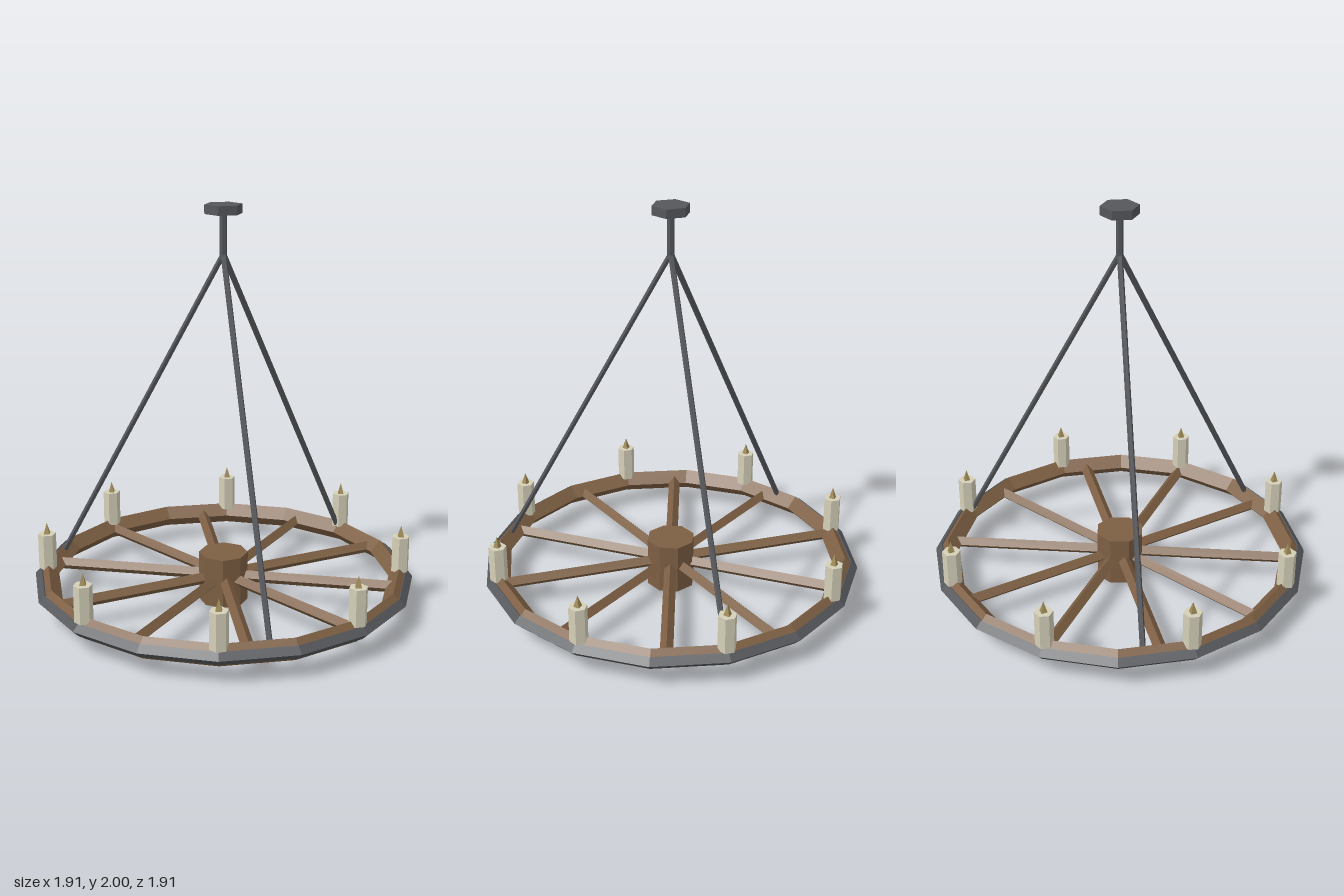
import * as THREE from 'three';

const flat = (name, color) => {
  const m = new THREE.MeshStandardMaterial({ color, flatShading: true });
  m.name = name;
  return m;
};

export function createModel() {
  const wood = flat('wood', 0x7d5f43);
  const iron = flat('iron', 0x55575b);
  const wax = flat('wax', 0xd4cfb8);
  const flame = flat('flame', 0xa08c58);

  const group = new THREE.Group();
  group.name = 'wheelChandelier';

  const add = (name, geometry, material, x = 0, y = 0, z = 0) => {
    const mesh = new THREE.Mesh(geometry, material);
    mesh.name = name;
    mesh.position.set(x, y, z);
    group.add(mesh);
    return mesh;
  };

  // Straight bar between two points
  const bar = (name, a, b, radius, sides, material) => {
    const dir = b.clone().sub(a);
    const mesh = add(name, new THREE.CylinderGeometry(radius, radius, dir.length(), sides), material);
    mesh.position.copy(a).add(b).multiplyScalar(0.5);
    return { mesh, dir: dir.normalize() };
  };

  const rimY = 0.13, rimR = 0.89;

  // Wheel rim and the iron band around it, both with a diamond section
  add('rim', new THREE.TorusGeometry(rimR, 0.055, 4, 16).rotateX(Math.PI / 2), wood, 0, rimY, 0);
  add('ironBand', new THREE.TorusGeometry(0.923, 0.032, 4, 16).rotateX(Math.PI / 2), iron, 0, rimY, 0);

  // Hub
  add('hub', new THREE.CylinderGeometry(0.123, 0.123, 0.254, 8), wood, 0, 0.127, 0);

  // Ten spokes with an edge facing up
  for (let i = 0; i < 10; i++) {
    const geometry = new THREE.CylinderGeometry(0.031, 0.031, 0.82, 4);
    geometry.rotateX(Math.PI / 2).translate(0, 0, 0.46);
    add('spoke', geometry, wood, 0, rimY, 0).rotation.y = (i * Math.PI) / 5;
  }

  // Eight candles, each with a pointed flame
  for (let i = 0; i < 8; i++) {
    const a = (i * Math.PI) / 4;
    const x = Math.cos(a) * rimR, z = Math.sin(a) * rimR;
    add('candle', new THREE.CylinderGeometry(0.045, 0.045, 0.183, 6), wax, x, 0.2535, z);
    add('flame', new THREE.ConeGeometry(0.021, 0.058, 4), flame, x, 0.373, z);
  }

  // Three hanging rods meeting under the stem
  const up = new THREE.Vector3(0, 1, 0);
  const apex = new THREE.Vector3(0, 1.765, 0);
  for (let i = 0; i < 3; i++) {
    const a = (i * Math.PI * 2) / 3;
    const foot = new THREE.Vector3(Math.cos(a) * 0.875, 0.15, Math.sin(a) * 0.875);
    const { mesh, dir } = bar('hangingRod', foot, apex, 0.014, 6, iron);
    mesh.quaternion.setFromUnitVectors(up, dir);
  }

  // Stem and ceiling plate
  bar('stem', new THREE.Vector3(0, 1.755, 0), new THREE.Vector3(0, 1.97, 0), 0.018, 6, iron);
  add('ceilingPlate', new THREE.CylinderGeometry(0.092, 0.092, 0.044, 6), iron, 0, 1.978, 0);

  return group;
}
